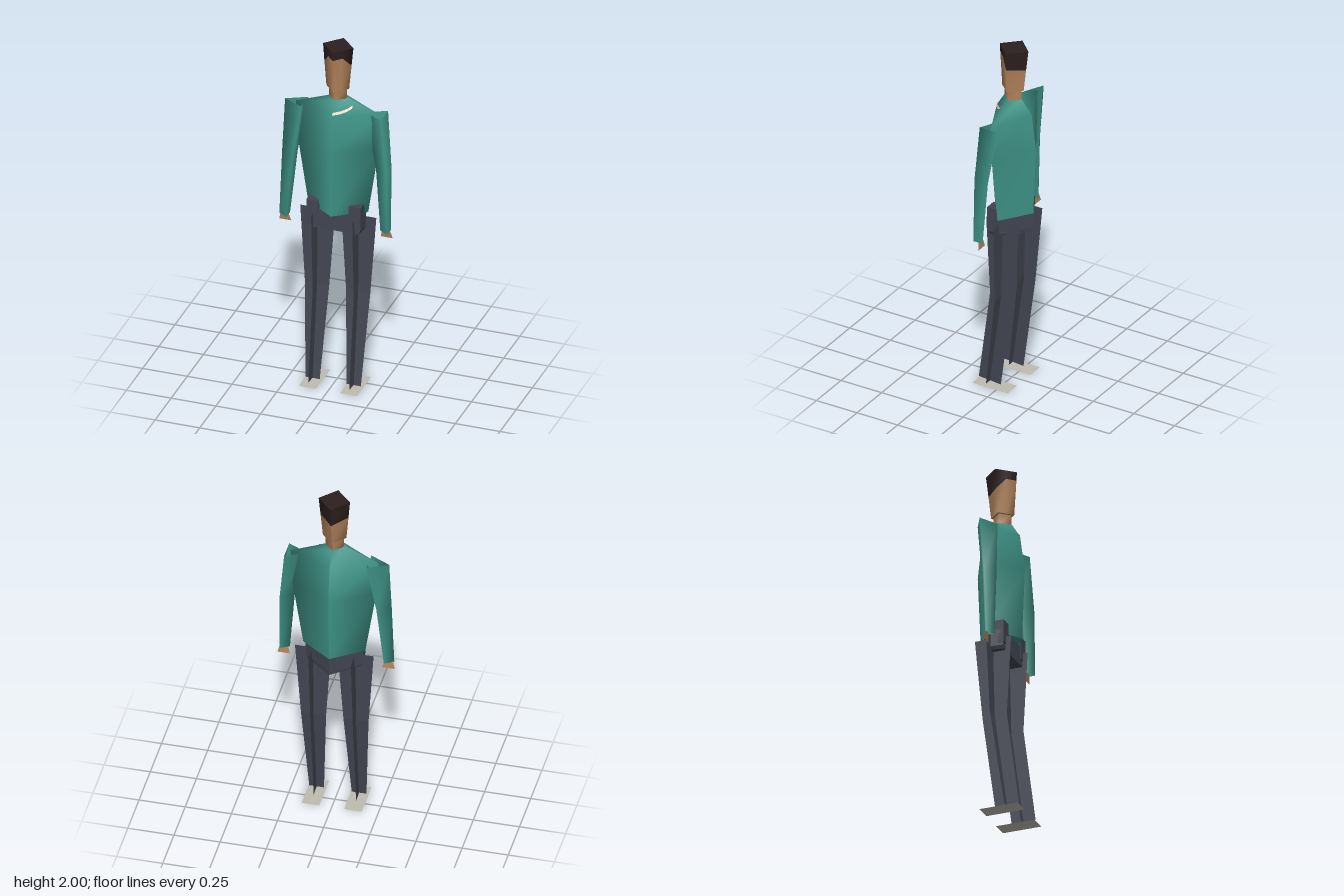
import * as THREE from 'three';

const paint = (name, color) =>
  new THREE.MeshStandardMaterial({ name, color, side: THREE.DoubleSide });

// Skin stretched over cross-sections listed from bottom to top.
// Points run back, left, front, right; a closed ring keeps a hard seam at its start.
function loft(rings, { closed = true, bottom = false, top = false, flat = false } = {}) {
  const pos = [], idx = [];
  const rows = rings.map(r => (closed ? [...r, r[0]] : r));
  const n = rows[0].length;
  rows.forEach(r => r.forEach(p => pos.push(...p)));
  for (let j = 0; j < rows.length - 1; j++) {
    for (let i = 0; i < n - 1; i++) {
      const a = j * n + i, b = a + 1, d = a + n, c = d + 1;
      idx.push(b, a, d, b, d, c);
    }
  }
  const cap = (ring, up) => {
    const s = pos.length / 3;
    ring.forEach(p => pos.push(...p));
    for (let i = 1; i < ring.length - 1; i++) {
      if (up) idx.push(s, s + i + 1, s + i);
      else idx.push(s, s + i, s + i + 1);
    }
  };
  if (bottom) cap(rings[0], false);
  if (top) cap(rings[rings.length - 1], true);
  let g = new THREE.BufferGeometry();
  g.setAttribute('position', new THREE.Float32BufferAttribute(pos, 3));
  g.setIndex(idx);
  if (flat) g = g.toNonIndexed();
  g.computeVertexNormals();
  return g;
}

// Four-sided section: half width, back z, front z
const diamond = (y, w, zb, zf) => {
  const m = (zb + zf) / 2;
  return [[0, y, zb], [w, y, m], [0, y, zf], [-w, y, m]];
};

export function createModel() {
  const model = new THREE.Group();
  model.name = 'person';
  const teal = paint('tealSweater', 0x3f9488);
  const skin = paint('skin', 0xb08159);
  const hair = paint('darkHair', 0x2c1f1f);
  const navy = paint('slateTrousers', 0x424552);
  const beige = paint('beigeShoes', 0xbfbbb1);
  const pale = paint('paleTrim', 0xdcc4b0);

  const add = (name, geometry, material, parent = model) => {
    const m = new THREE.Mesh(geometry, material);
    m.name = name;
    parent.add(m);
    return m;
  };

  // Sweater body
  add('torso', loft([
    diamond(1.03, 0.168, -0.13, 0.105),
    diamond(1.42, 0.228, -0.147, 0.121),
    diamond(1.625, 0.236, -0.12, 0.094),
    diamond(1.70, 0.045, -0.058, 0.048),
  ], { bottom: true, top: true }), teal);

  // Thin curved stripe lying on the left of the chest
  const chestPoint = (x, y) => {
    const t = (y - 1.625) / 0.075;
    const w = THREE.MathUtils.lerp(0.236, 0.045, t);
    const zf = THREE.MathUtils.lerp(0.094, 0.048, t);
    const m = THREE.MathUtils.lerp(-0.013, -0.005, t);
    return [x, y + 0.002, zf + (m - zf) * x / w + 0.003];
  };
  const stripe = [[0.092, 1.656], [0.07, 1.644], [0.04, 1.635], [0.003, 1.63]];
  add('chestStripe', loft([
    stripe.map(([x, y]) => chestPoint(x, y)),
    stripe.map(([x, y]) => chestPoint(x, y + 0.013)),
  ], { closed: false }), pale);

  // Neck and head
  add('neck', loft([
    diamond(1.69, 0.05, -0.058, 0.046),
    diamond(1.765, 0.05, -0.058, 0.046),
  ]), skin);

  // Head section with two extra points at the temples; heights given per point
  const headRing = (yBack, ySide, yFront) => {
    const at = (x, z, y) => {
      const s = THREE.MathUtils.lerp(0.75, 1, (y - 1.755) / 0.245);
      return [x * s, y, -0.005 + (z - 0.007 * (s - 0.75) * 4) * s];
    };
    return [at(0, -0.088, yBack), at(0.085, 0, ySide), at(0.043, 0.044, yFront),
      at(0, 0.088, yFront), at(-0.043, 0.044, yFront), at(-0.085, 0, ySide)];
  };
  const hairline = headRing(1.882, 1.895, 1.952);
  add('head', loft([headRing(1.755, 1.755, 1.755), hairline], { bottom: true }), skin);
  add('hair', loft([hairline, headRing(2, 2, 2)], { top: true }), hair);

  // Three-sided open sleeves: [y, flat side x, ridge x, back z, front z]
  const sleeve = rows => loft(rows.map(([y, f, r, zb, zf]) =>
    [[f, y, zb], [f, y, zf], [r, y, (zb + zf) / 2]]));
  add('leftArm', sleeve([
    [0.952, 0.300, 0.250, 0.0, 0.057],
    [1.32, 0.292, 0.220, -0.028, 0.055],
    [1.625, 0.258, 0.148, -0.07, 0.043],
  ]), teal);
  add('rightArm', sleeve([
    [0.952, -0.265, -0.315, 0.0, 0.057],
    [1.32, -0.232, -0.305, -0.028, 0.055],
    [1.625, -0.188, -0.298, -0.07, 0.043],
  ]), teal);

  // Flat hands
  for (const [name, x] of [['leftHand', 0.281], ['rightHand', -0.287]]) {
    add(name, loft([
      [[x + 0.035, 0.913, 0.017], [x - 0.033, 0.913, 0.017]],
      [[x + 0.02, 0.962, 0.024], [x - 0.02, 0.962, 0.024]],
    ], { closed: false }), skin);
  }

  // Hips: pointed behind, flat in front
  const hipRing = (y, w, zb) => [[0, y, zb], [w, y, -0.01], [w - 0.008, y, 0.058],
    [-w + 0.008, y, 0.058], [-w, y, -0.01]];
  add('hips', loft([
    hipRing(0.922, 0.146, -0.126),
    hipRing(0.94, 0.154, -0.128),
    hipRing(1.032, 0.158, -0.128),
  ], { bottom: true, top: true, flat: true }), navy);

  // Crossed leg panels, raised hip corners and flat shoes, mirrored
  for (const [side, s] of [['left', 1], ['right', -1]]) {
    const leg = new THREE.Group();
    leg.name = side + 'Leg';
    model.add(leg);
    const cx = s * 0.115;
    add(side + 'LegFrontPanel', loft([
      [[cx + 0.04, 0.015, 0.067], [cx - 0.04, 0.015, 0.067]],
      [[cx + 0.068, 0.55, -0.003], [cx - 0.068, 0.55, -0.003]],
      [[cx + 0.098, 1.0, -0.013], [cx - 0.098, 1.0, -0.013]],
    ], { closed: false, flat: true }), navy, leg);
    add(side + 'LegSidePanel', loft([
      [[cx, 0.01, 0.0], [cx, 0.022, 0.135]],
      [[cx, 0.55, -0.073], [cx, 0.55, 0.066]],
      [[cx, 1.0, -0.116], [cx, 1.0, 0.09]],
    ], { closed: false, flat: true }), navy, leg);

    const corner = add(side + 'HipCorner', new THREE.BoxGeometry(0.066, 0.13, 0.07), navy);
    corner.position.set(s * 0.118, 1.02, 0.027);

    const shoe = add(side + 'Shoe', new THREE.PlaneGeometry(0.095, 0.218), beige);
    shoe.rotation.x = -Math.PI / 2;
    shoe.position.set(cx, 0, 0.038);
  }
  return model;
}
